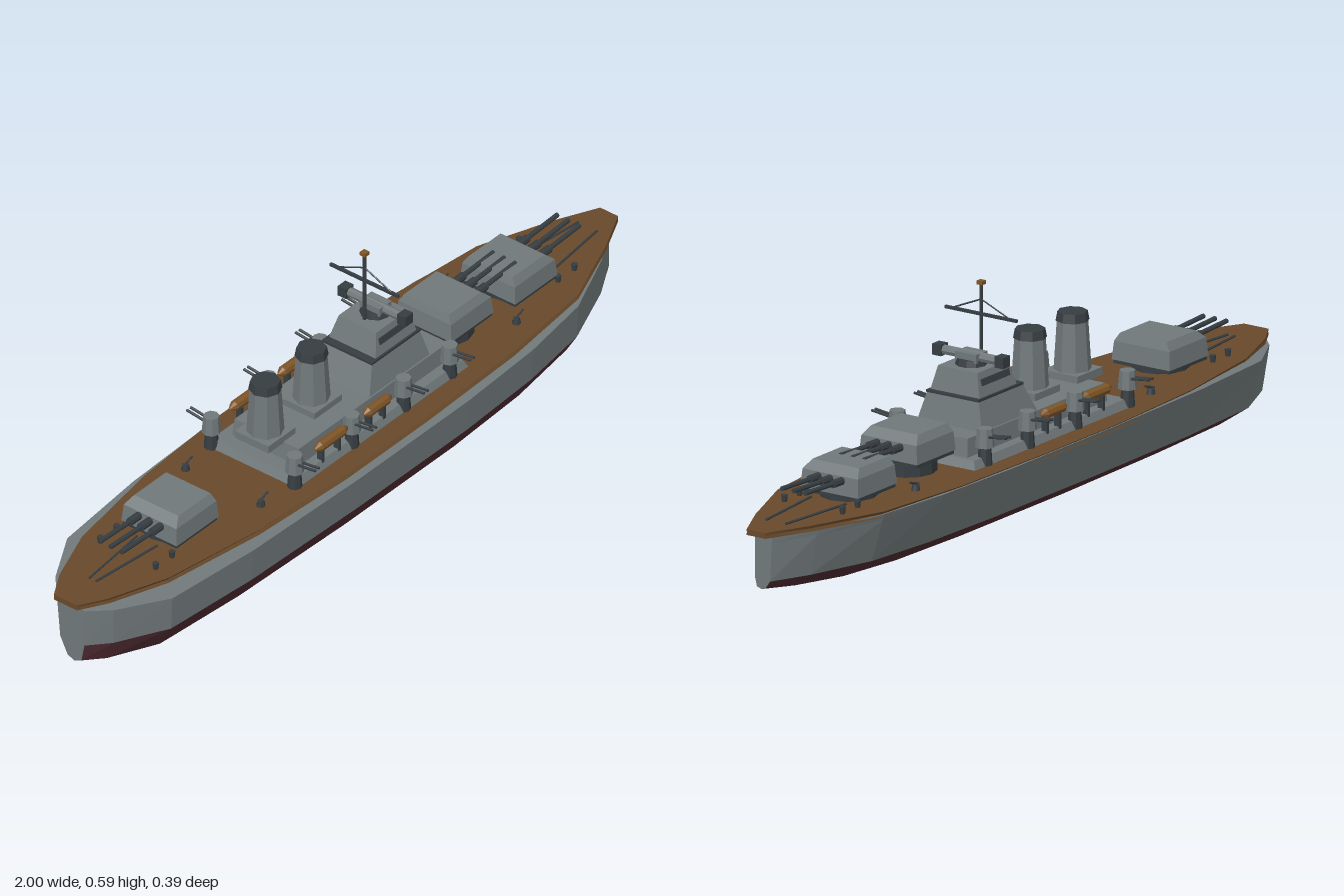
import * as THREE from 'three';

const mat = (name, color, side = THREE.FrontSide) => {
  const m = new THREE.MeshStandardMaterial({ color, flatShading: true, side });
  m.name = name;
  return m;
};

export function createModel() {
  const root = new THREE.Group();
  root.name = 'battleship';
  const grey = mat('hull grey', 0x70787a);
  const dark = mat('dark metal', 0x363d41);
  const red = mat('underwater red', 0x4c2930);
  const brown = mat('deck brown', 0x68492a);
  const wood = mat('boat wood', 0x7e5526);

  const add = (parent, name, geo, m, x = 0, y = 0, z = 0) => {
    const mesh = new THREE.Mesh(geo, m);
    mesh.name = name;
    mesh.position.set(x, y, z);
    parent.add(mesh);
    return mesh;
  };
  const box = (p, name, m, w, h, d, x, y, z) => add(p, name, new THREE.BoxGeometry(w, h, d), m, x, y, z);
  const cyl = (p, name, m, rt, rb, h, x, y, z, n = 8) => add(p, name, new THREE.CylinderGeometry(rt, rb, h, n), m, x, y, z);

  // Box standing on y whose top is shrunk by sx, sz and slid by dx
  const taper = (p, name, m, w, h, d, sx, sz, x, y, z, dx = 0) => {
    const g = new THREE.BoxGeometry(w, h, d).translate(0, h / 2, 0);
    const a = g.attributes.position;
    for (let i = 0; i < a.count; i++) {
      if (a.getY(i) > h / 2) a.setXYZ(i, a.getX(i) * sx + dx, h, a.getZ(i) * sz);
    }
    g.computeVertexNormals();
    return add(p, name, g, m, x, y, z);
  };

  // Round bar between two points
  const bar = (p, name, m, from, to, r, n = 6) => {
    const a = new THREE.Vector3(...from), b = new THREE.Vector3(...to);
    const mesh = cyl(p, name, m, r, r, a.distanceTo(b), 0, 0, 0, n);
    mesh.position.copy(a).add(b).multiplyScalar(0.5);
    mesh.quaternion.setFromUnitVectors(new THREE.Vector3(0, 1, 0), b.sub(a).normalize());
    return mesh;
  };

  // Skin over closed rings; keep(i) chooses the strips, caps closes the ends
  const loft = (rings, keep, caps) => {
    const v = [], n = rings[0].length;
    for (let r = 0; r < rings.length - 1; r++) {
      for (let i = 0; i < n; i++) {
        if (!keep(i)) continue;
        const j = (i + 1) % n, A = rings[r], B = rings[r + 1];
        v.push(...A[i], ...B[i], ...B[j], ...A[i], ...B[j], ...A[j]);
      }
    }
    if (caps) {
      const F = rings[0], L = rings[rings.length - 1];
      for (let i = 1; i < n - 1; i++) v.push(...F[0], ...F[i], ...F[i + 1], ...L[0], ...L[i + 1], ...L[i]);
    }
    const g = new THREE.BufferGeometry();
    g.setAttribute('position', new THREE.Float32BufferAttribute(v, 3));
    g.computeVertexNormals();
    return g;
  };

  // Hull: slightly heeled section [z, y], scaled along stations [x, width, depth below waterline]
  const section = [[-0.19, 0.2], [-0.185, 0.185], [-0.145, 0.076], [-0.045, 0.012],
    [0.045, 0], [0.145, 0.014], [0.185, 0.08], [0.19, 0.165]];
  const stations = [[-0.98, 0.22, 0.7], [-0.93, 0.46, 0.78], [-0.8, 0.83, 0.88], [-0.53, 0.95, 0.95],
    [-0.15, 1, 1], [0.25, 1, 1], [0.5, 0.94, 0.95], [0.7, 0.8, 0.8], [0.87, 0.44, 0.55], [0.97, 0.13, 0.33]];
  const hullRings = stations.map(([x, s, k]) => section.map(([z, y]) => {
    const top = y > 0.15;
    const yy = top ? y + 0.092 * z * (1 - s) : y < 0.07 ? 0.08 - (0.08 - y) * k : y;
    return [x, yy, z * s];
  }));
  add(root, 'upperHull', loft(hullRings, i => i < 2 || i > 5, true), grey);
  add(root, 'lowerHull', loft(hullRings, i => i >= 2 && i <= 5, false), red);

  // Deck planking with a waisted edge
  const half = [[1, 0.027], [0.89, 0.08], [0.7, 0.152], [0.43, 0.18], [0.1, 0.189], [-0.2, 0.189],
    [-0.5, 0.172], [-0.78, 0.13], [-0.93, 0.075], [-1, 0.035]];
  const outline = [...half, ...half.slice().reverse().map(([x, z]) => [x, -z])];
  const deckRings = [[0.189, 1], [0.196, 0.965], [0.203, 1]].map(([y, s]) => outline.map(([x, z]) => [x, y, z * s]));
  add(root, 'deck', loft(deckRings, () => true, true), brown);

  // Main gun turrets, dir = +1 faces the bow
  const turret = (name, x, y, dir) => {
    const g = new THREE.Group();
    g.name = name;
    g.position.set(x, y, 0);
    if (dir < 0) g.rotation.y = Math.PI;
    cyl(g, 'barbette', dark, 0.07, 0.07, y - 0.19, 0, (0.2 - y) / 2 + 0.008, 0, 12);
    box(g, 'turretFoot', dark, 0.15, 0.01, 0.16, 0, 0.014, 0);
    taper(g, 'turretHouse', grey, 0.155, 0.045, 0.166, 0.95, 0.95, 0, 0.018, 0);
    taper(g, 'turretRoof', grey, 0.147, 0.02, 0.158, 0.8, 0.84, 0, 0.063, 0, -0.008);
    for (const z of [-0.033, 0, 0.033]) {
      bar(g, 'barrelSleeve', dark, [0.06, 0.052, z], [0.11, 0.053, z], 0.01, 8);
      bar(g, 'barrel', dark, [0.1, 0.053, z], [0.22, 0.058, z], 0.006, 8);
    }
    root.add(g);
  };
  turret('foreTurret', 0.63, 0.205, 1);
  turret('raisedTurret', 0.395, 0.228, 1);
  turret('aftTurret', -0.615, 0.205, -1);

  // Superstructure tiers
  taper(root, 'platform', grey, 0.63, 0.02, 0.272, 0.97, 0.93, 0, 0.203, 0);
  taper(root, 'deckhouse', grey, 0.56, 0.045, 0.2, 0.98, 0.96, 0.015, 0.222, 0);
  taper(root, 'bridgeLower', grey, 0.225, 0.075, 0.188, 0.78, 0.78, 0.115, 0.26, 0, 0.01);
  box(root, 'bridgeLedge', dark, 0.18, 0.006, 0.15, 0.125, 0.336, 0);
  taper(root, 'bridgeUpper', grey, 0.15, 0.058, 0.14, 0.8, 0.8, 0.13, 0.338, 0, 0.004);
  for (const s of [-1, 1]) {
    const w = box(root, 'bridgeWindows', dark, 0.11, 0.016, 0.006, 0.132, 0.372, s * 0.0625);
    w.rotation.x = -s * 0.24;
  }
  cyl(root, 'directorNeck', dark, 0.034, 0.038, 0.016, 0.14, 0.403, 0, 10);
  bar(root, 'rangefinder', grey, [0.14, 0.417, -0.08], [0.14, 0.417, 0.08], 0.012, 8);
  for (const s of [-1, 1]) box(root, 'rangefinderEnd', dark, 0.028, 0.027, 0.025, 0.14, 0.417, s * 0.089);
  box(root, 'directorHood', grey, 0.045, 0.022, 0.06, 0.14, 0.416, 0);

  // Mast with yard and stays
  bar(root, 'mast', dark, [0.1, 0.33, 0], [0.1, 0.582, 0], 0.0045);
  box(root, 'mastCap', wood, 0.016, 0.009, 0.016, 0.1, 0.584, 0);
  box(root, 'yard', dark, 0.007, 0.007, 0.205, 0.1, 0.507, 0);
  for (const s of [-1, 1]) bar(root, 'yardStay', dark, [0.1, 0.509, s * 0.08], [0.1, 0.543, 0], 0.002);

  // Funnels
  for (const x of [-0.265, -0.095]) {
    box(root, 'funnelBase', grey, 0.1, 0.02, 0.1, x, 0.274, 0);
    cyl(root, 'funnel', grey, 0.037, 0.046, 0.14, x, 0.335, 0);
    cyl(root, 'funnelCap', dark, 0.036, 0.04, 0.022, x, 0.413, 0);
  }

  for (const s of [-1, 1]) {
    // Secondary gun mounts pointing outboard
    for (const x of [-0.31, -0.1, 0.09, 0.26]) {
      const g = new THREE.Group();
      g.name = 'secondaryMount';
      g.position.set(x, 0.203, s * 0.125);
      cyl(g, 'mountPedestal', dark, 0.015, 0.018, 0.045, 0, 0.022, 0);
      cyl(g, 'mountHouse', grey, 0.019, 0.023, 0.045, 0, 0.066, 0);
      for (const dx of [-0.007, 0.007]) {
        bar(g, 'mountBarrel', dark, [dx, 0.07, s * 0.012], [dx, 0.077, s * 0.068], 0.0035);
      }
      root.add(g);
    }
    // Ship's boats on chocks
    for (const [x, len] of [[-0.18, 0.12], [-0.01, 0.1]]) {
      const boat = cyl(root, 'boat', wood, 0.013, 0.013, len * 0.7, x, 0.268, s * 0.128);
      boat.rotation.z = Math.PI / 2;
      for (const e of [-1, 1]) {
        const tip = cyl(root, 'boatEnd', wood, 0.003, 0.013, len * 0.15, x + e * len * 0.425, 0.268, s * 0.128);
        tip.rotation.z = -e * Math.PI / 2;
        box(root, 'boatChock', dark, 0.008, 0.045, 0.016, x + e * len * 0.25, 0.24, s * 0.122);
      }
    }
    // Mooring posts, light guns and anchor chains on deck
    for (const x of [-0.77, -0.71, 0.71, 0.77]) cyl(root, 'mooringPost', dark, 0.008, 0.006, 0.018, x, 0.211, s * 0.083);
    for (const x of [-0.42, 0.52]) {
      cyl(root, 'lightGunBase', dark, 0.008, 0.011, 0.016, x, 0.21, s * 0.113);
      bar(root, 'lightGunBarrel', dark, [x - 0.012, 0.216, s * 0.113], [x + 0.025, 0.228, s * 0.113], 0.003);
    }
    bar(root, 'bowChain', dark, [0.71, 0.206, s * 0.05], [0.92, 0.206, s * 0.028], 0.003);
    bar(root, 'sternChain', dark, [-0.7, 0.206, s * 0.03], [-0.9, 0.206, s * 0.01], 0.003);
  }
  return root;
}
